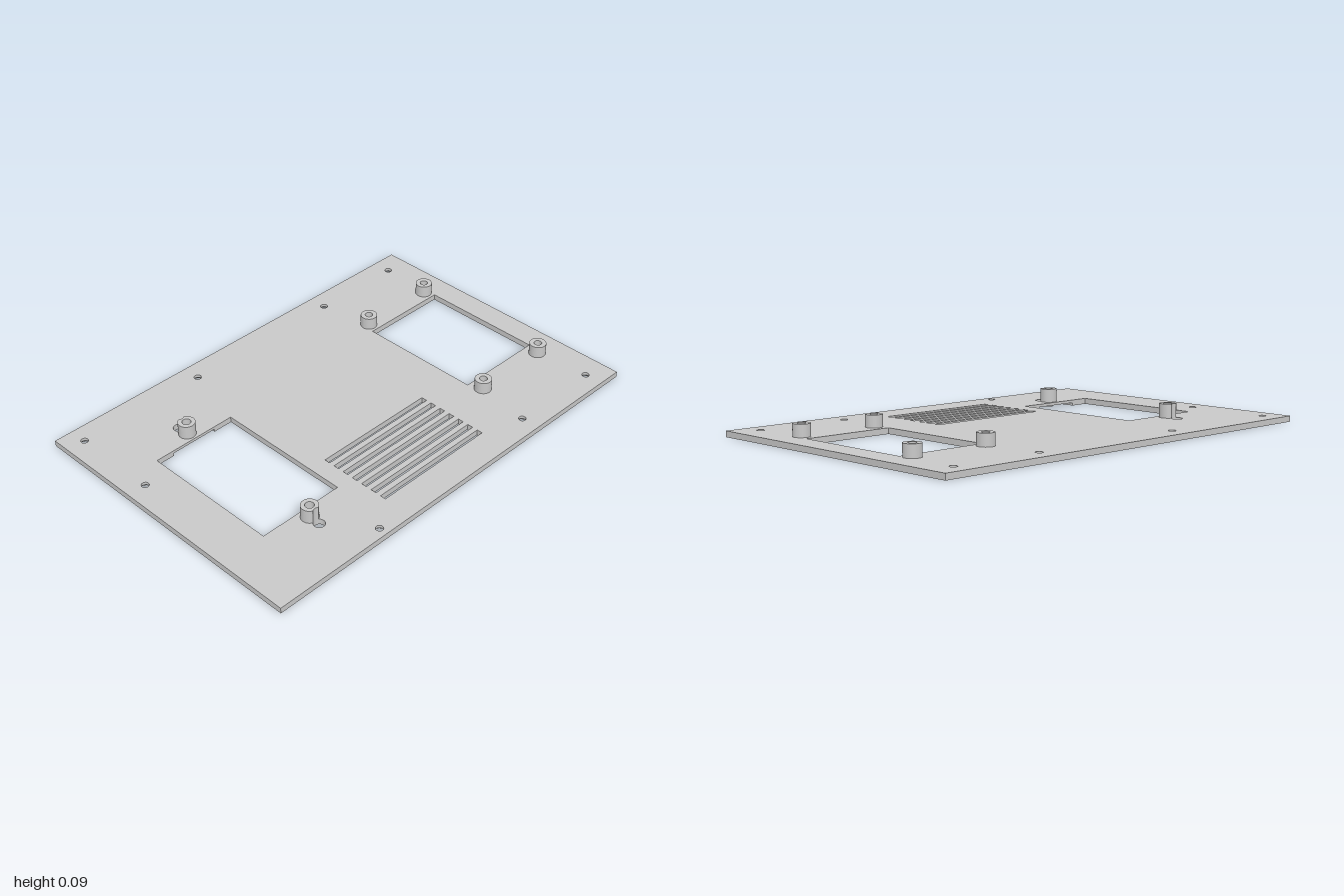
import * as THREE from 'three';

const LOWER = 0.013, TOP = 0.026;   // pocket depth and plate thickness
const screws = [[-0.914, -0.588], [-0.305, -0.588], [0.46, -0.588], [0.888, -0.588],
  [-0.914, -0.198], [-0.444, 0.631], [0.46, 0.588], [0.888, 0.588]];
const shortPosts = [[0.5, -0.34], [0.866, -0.34], [0.5, 0.337], [0.866, 0.337]];
const tallPosts = [[-0.587, -0.326, -1], [-0.587, 0.396, 1]];   // x, z, side of the pin hole
const PIN = 0.053, PIN_R = 0.024;

// Outlines are given in (x, z); shape y is -z, and outer outlines run counter-clockwise
const polygon = (pts, Type = THREE.Path) => new Type(pts.map(([x, z]) => new THREE.Vector2(x, -z)));
const rect = (x0, z0, x1, z1, Type) => polygon([[x0, z1], [x1, z1], [x1, z0], [x0, z0]], Type);
const circle = (x, z, r) => new THREE.Path().absarc(x, -z, r, 0, Math.PI * 2, true);

function slab(shape, y0, y1) {
  const g = new THREE.ExtrudeGeometry(shape, { depth: y1 - y0, bevelEnabled: false, curveSegments: 20 });
  return g.rotateX(-Math.PI / 2).translate(0, y0, 0);
}

function plateLayer(window, screwRadius, y0, y1) {
  const s = rect(-1, -0.672, 1, 0.672, THREE.Shape);
  s.holes.push(window, rect(0.474, -0.291, 0.888, 0.275));
  // Ventilation slots
  for (let i = 0; i < 7; i++) {
    const z = 0.196 + i * 0.0515;
    s.holes.push(rect(-0.307, z, 0.27, z + 0.026));
  }
  screws.forEach(([x, z]) => s.holes.push(circle(x, z, screwRadius)));
  shortPosts.forEach(([x, z]) => s.holes.push(circle(x, z, 0.017)));
  tallPosts.forEach(([x, z, d]) => s.holes.push(circle(x, z, 0.019), circle(x, z + d * PIN, PIN_R)));
  return slab(s, y0, y1);
}

// Round post with a groove where the pin hole cuts into it
function groovedPost(x, z, dir) {
  const r = 0.037, a = (PIN * PIN + r * r - PIN_R * PIN_R) / (2 * PIN);
  const outer = Math.acos(a / r), inner = Math.acos((PIN - a) / PIN_R);
  const mid = dir > 0 ? -Math.PI / 2 : Math.PI / 2;
  const s = new THREE.Shape();
  s.absarc(x, -z, r, mid + outer, mid + Math.PI * 2 - outer, false);
  s.absarc(x, -z - dir * PIN, PIN_R, mid + Math.PI + inner, mid + Math.PI - inner, true);
  s.holes.push(circle(x, z, 0.019));
  return slab(s, TOP, 0.087);
}

export function createModel() {
  const model = new THREE.Group();
  const grey = new THREE.MeshStandardMaterial({ color: 0xc8c8c8 });
  grey.name = 'grey plastic';
  const add = (name, geometry) => {
    const m = new THREE.Mesh(geometry, grey);
    m.name = name;
    model.add(m);
  };

  // Upper layer has the plain window; lower layer widens it with two pockets
  add('plateTop', plateLayer(rect(-0.786, -0.28, -0.39, 0.35), 0.016, LOWER, TOP));
  const pocketed = polygon([[-0.786, -0.28], [-0.7, -0.28], [-0.7, -0.42], [-0.48, -0.42],
    [-0.48, -0.28], [-0.39, -0.28], [-0.39, 0.35], [-0.48, 0.35], [-0.48, 0.487],
    [-0.7, 0.487], [-0.7, 0.35], [-0.786, 0.35]]);
  // The pin and post holes open into the pockets, so the lower layer needs none there
  add('plateBottom', plateLayerWithPockets(pocketed));

  // Countersinks under the screw holes, seen from inside
  for (const [x, z] of screws) {
    const profile = [[0.016, LOWER], [0.028, 0]].map(([r, y]) => new THREE.Vector2(r, y));
    add('countersink', new THREE.LatheGeometry(profile, 24).translate(x, 0, z));
  }

  // Mounting posts
  for (const [x, z] of shortPosts) {
    const s = new THREE.Shape().absarc(x, -z, 0.037, 0, Math.PI * 2, false);
    s.holes.push(circle(x, z, 0.017));
    add('shortPost', slab(s, TOP, 0.08));
  }
  for (const [x, z, d] of tallPosts) add('tallPost', groovedPost(x, z, d));
  return model;
}

function plateLayerWithPockets(window) {
  return plateLayer(window, 0.028, 0, LOWER);
}
